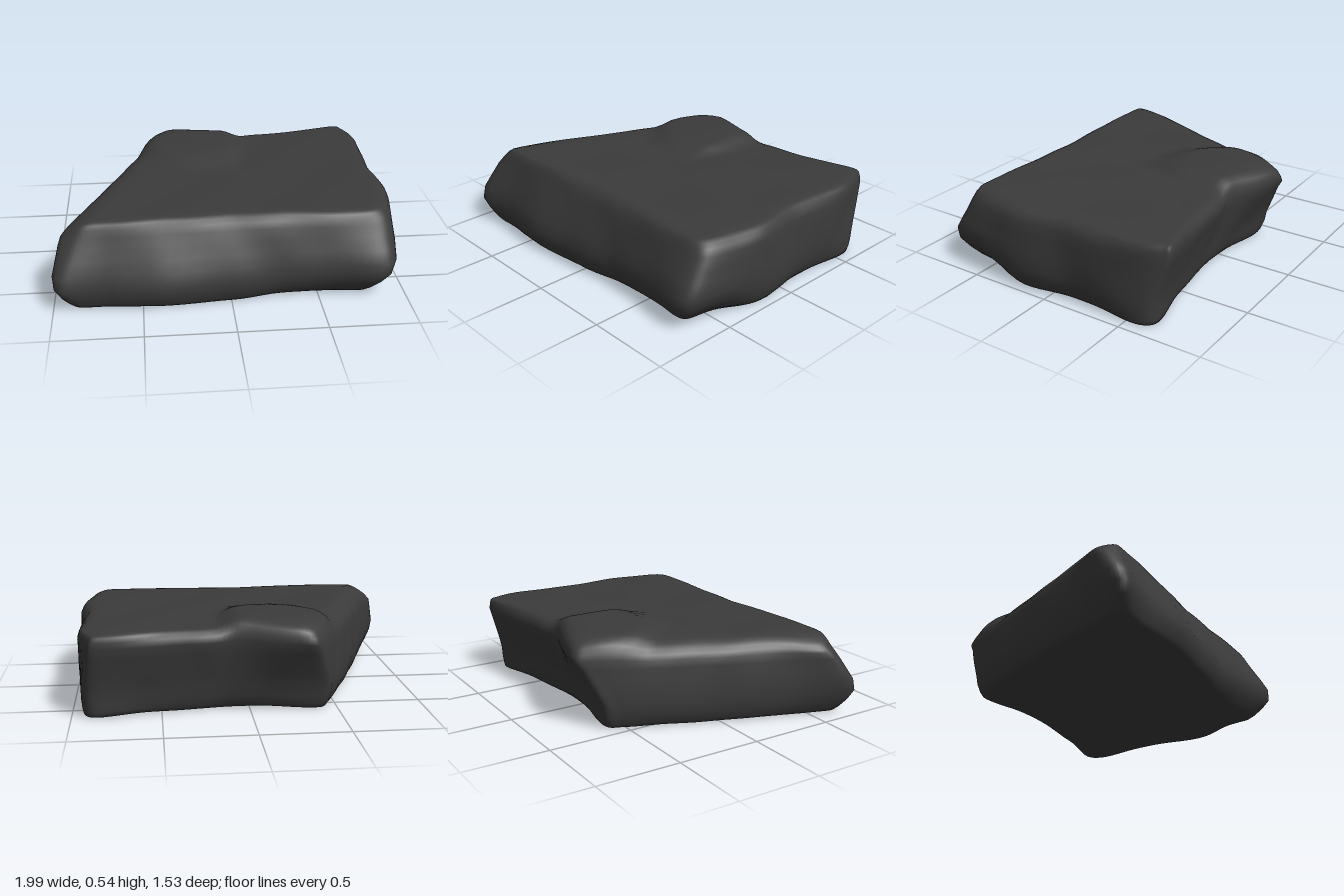
import * as THREE from 'three';

// Matching x,z outlines of the slab near its foot and near its top edge
const LOW = [
  -.49, -.55, -.42, -.635, -.1, -.605, .12, -.59, .3, -.6, .6, -.635, .87, -.67, .945, -.6,
  .96, -.4, .96, -.1, 1, .25, .975, .5, .935, .725, .83, .77, .5, .715, .25, .7,
  0, .73, -.4, .76, -.7, .735, -.95, .77, -1.005, .69, -.88, .4, -.74, .04, -.58, -.35,
];
const HIGH = [
  -.41, -.69, -.33, -.77, -.08, -.71, .11, -.655, .3, -.685, .55, -.7, .85, -.745, .9, -.7,
  .96, -.5, .955, -.1, .98, .22, .95, .42, .9, .58, .8, .63, .5, .625, .25, .62,
  0, .62, -.4, .635, -.7, .635, -.86, .63, -.94, .55, -.835, .33, -.71, .02, -.555, -.35,
];
const CENTRE = new THREE.Vector3(0.1, 0, 0);
const N = 144;
const step = THREE.MathUtils.smoothstep;

const outline = (a) => {
  const pts = [];
  for (let i = 0; i < a.length; i += 2) pts.push(new THREE.Vector3(a[i], 0, a[i + 1]));
  return new THREE.CatmullRomCurve3(pts, true, 'catmullrom', 0.4);
};

// Raised patch on the top at the back, with a curved front edge
const bump = (x, z) => {
  const edge = -0.05 - 2 * (x + 0.1) ** 2;
  return 0.047 * step(x, -0.6, -0.38) * (1 - step(x, 0.05, 0.2))
    * (1 - step(z, edge - 0.2, edge + 0.04)) * step(z, -0.84, -0.56);
};

// The top falls away softly along the slanting right side, most at the front
const shoulder = (x, z) => {
  const d = x + 0.4 + 0.41 * (z + 0.7);
  return (0.035 + 0.02 * step(z, 0.2, 0.6)) * (1 - step(d, -0.04, 0.14));
};

// Broken-away underside, deepest below the two front corners
const undercut = (x, y, z) => Math.max(0, 1 - y / 0.2) * step(z, 0.1, 0.7)
  * (0.14 * step(x, 0.2, 0.9) + 0.09 * (1 - step(x, -1, -0.6)));

// Each ring: height, blend from low to high outline, inward offset, scale to centre
const RINGS = [
  ...[0, 0.25, 0.5, 0.75, 0.92].map((k) => [0.008, 0, 0.07, k]),
  [0.014, 0, 0.05, 1], [0.04, 0, 0.03, 1], [0.09, 0, 0.01, 1], [0.15, 0.02, 0, 1],
  [0.22, 0.24, -0.003, 1], [0.29, 0.5, -0.003, 1], [0.36, 0.77, 0, 1], [0.42, 1, 0, 1],
  [0.455, 1.04, 0.016, 1], [0.48, 1.06, 0.036, 1], [0.492, 1.06, 0.065, 1],
  ...[0.95, 0.88, 0.8, 0.72, 0.64, 0.55, 0.45, 0.34, 0.22, 0.1, 0].map((k) => [0.496, 1.06, 0.065, k]),
];

function slabGeometry() {
  const low = outline(LOW), high = outline(HIGH);
  const pos = [], index = [];
  for (const [y, t, inset, k] of RINGS) {
    for (let i = 0; i < N; i++) {
      const p = low.getPoint(i / N).lerp(high.getPoint(i / N), t);
      const inward = CENTRE.clone().sub(p).normalize();
      // the back left corner keeps a crisp edge
      const crisp = 1 - 0.6 * step(p.x, 0.5, 0.85) * step(-p.z, 0.3, 0.6);
      p.addScaledVector(inward, inset * crisp + undercut(p.x, y, p.z));
      p.lerp(CENTRE, 1 - k);
      // gentle weathering, finer on the sides
      const wobble = 0.003 * Math.sin(9 * p.x + 2) * Math.sin(8 * p.z + 11 * y);
      const chips = 0.004 * Math.sin(17 * p.x + 4 * y) * Math.cos(15 * p.z - 5 * y);
      p.y = y + wobble + (bump(p.x, p.z) - shoulder(p.x, p.z)) * step(y, 0.36, 0.49);
      if (k === 1) p.addScaledVector(inward, wobble + chips);
      pos.push(p.x, Math.max(0, p.y), p.z);
    }
  }
  for (let j = 0; j < RINGS.length - 1; j++) {
    for (let i = 0; i < N; i++) {
      const a = j * N + i, b = j * N + ((i + 1) % N);
      index.push(a, a + N, b, b, a + N, b + N);
    }
  }
  const g = new THREE.BufferGeometry();
  g.setAttribute('position', new THREE.Float32BufferAttribute(pos, 3));
  g.setIndex(index);
  g.computeVertexNormals();
  return g;
}

export function createModel() {
  const group = new THREE.Group();
  group.name = 'rock';
  const slab = new THREE.Mesh(slabGeometry(), new THREE.MeshStandardMaterial({ color: 0x3b3b3b }));
  slab.name = 'stoneSlab';
  group.add(slab);
  return group;
}
